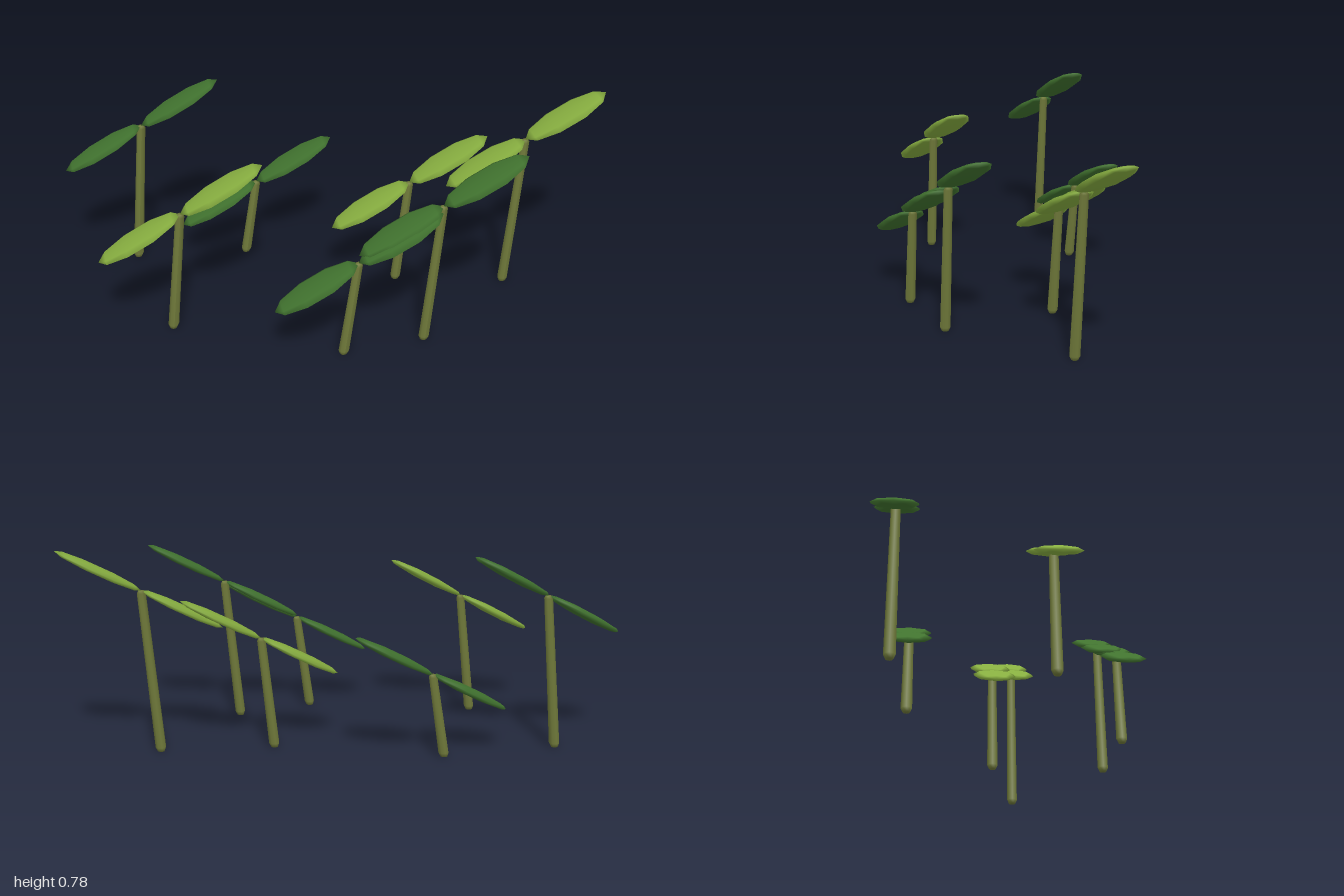
import * as THREE from 'three';

const stemGreen = new THREE.MeshStandardMaterial({ name: 'stemGreen', color: 0x6f793a });
const darkLeaf = new THREE.MeshStandardMaterial({ name: 'darkLeaf', color: 0x41732f });
const lightLeaf = new THREE.MeshStandardMaterial({ name: 'lightLeaf', color: 0x87ae40 });

const LEAF_TILT = 0.497;   // both leaves slope up towards +x
const LEAF_HALF = 0.172;   // half of a leaf's length

// Flattened low-sided ellipsoid with its poles at the leaf tips
function leafGeometry() {
  const g = new THREE.SphereGeometry(1, 8, 5);
  g.rotateZ(-Math.PI / 2);
  g.scale(LEAF_HALF, 0.017, 0.0825);
  return g;
}

// Leaning stalk with a rounded foot and a slight taper
function stemGeometry(height, lean) {
  const profile = [[0, 0], [0.013, 0], [0.02, 0.016], [0.0165, height - 0.01], [0.01, height], [0, height]];
  const g = new THREE.LatheGeometry(profile.map(([r, y]) => new THREE.Vector2(r, y)), 8);
  const p = g.attributes.position;
  for (let i = 0; i < p.count; i++) p.setX(i, p.getX(i) + lean * p.getY(i) / height);
  g.computeVertexNormals();
  return g;
}

// Stem with a pair of leaves meeting at its top
function sprout(baseX, topX, height, z, leafMaterial, leafGeo) {
  const group = new THREE.Group();
  group.name = 'sprout';
  group.position.set(topX, 0, z);

  const stem = new THREE.Mesh(stemGeometry(height, topX - baseX), stemGreen);
  stem.name = 'stem';
  stem.position.x = baseX - topX;
  group.add(stem);

  for (const side of [-1, 1]) {
    const leaf = new THREE.Mesh(leafGeo, leafMaterial);
    leaf.name = side < 0 ? 'lowerLeaf' : 'upperLeaf';
    const d = side * LEAF_HALF;
    leaf.position.set(d * Math.cos(LEAF_TILT), height + d * Math.sin(LEAF_TILT), 0);
    leaf.rotation.z = LEAF_TILT;
    group.add(leaf);
  }
  return group;
}

export function createModel() {
  const model = new THREE.Group();
  model.name = 'sproutPatch';
  const leafGeo = leafGeometry();

  // base x, top x, height, z, leaf colour
  const sprouts = [
    [-0.75, -0.698, 0.585, -0.415, darkLeaf],
    [-0.665, -0.613, 0.482, 0.12, lightLeaf],
    [-0.317, -0.265, 0.318, -0.362, darkLeaf],
    [-0.08, -0.025, 0.378, 0.415, darkLeaf],
    [0.228, 0.285, 0.555, 0.388, darkLeaf],
    [0.228, 0.276, 0.425, -0.035, lightLeaf],
    [0.637, 0.692, 0.615, 0.07, lightLeaf],
  ];
  for (const s of sprouts) model.add(sprout(...s, leafGeo));
  return model;
}
